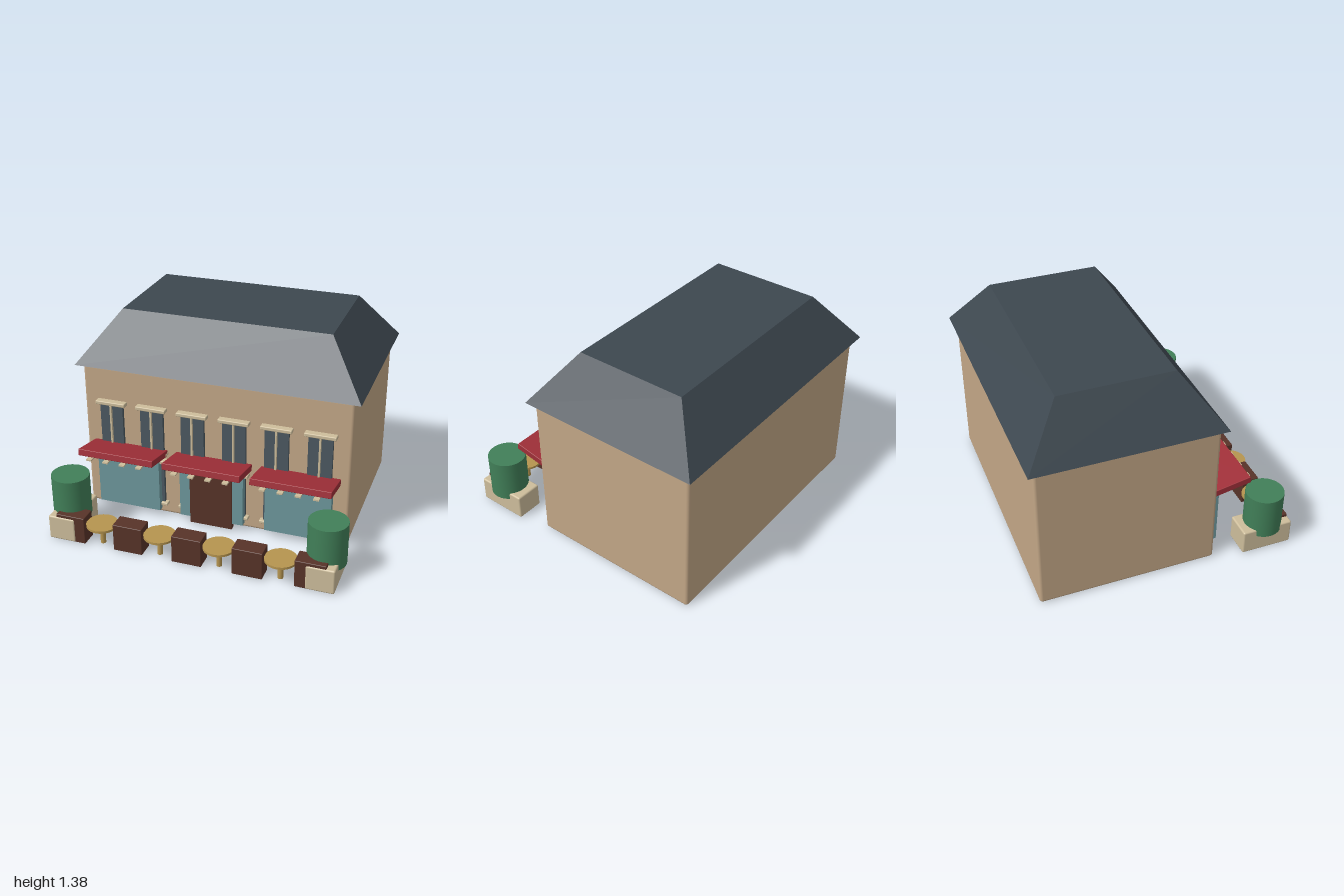
import * as THREE from 'three';
import { RoundedBoxGeometry } from 'three/addons/geometries/RoundedBoxGeometry.js';

const mat = (color) => new THREE.MeshStandardMaterial({ color });
const M = {
  wall: mat(0xc2a686), roof: mat(0x3d474f), awning: mat(0x9f2f38), glass: mat(0x6d979b), pane: mat(0x4b5860),
  wood: mat(0x573328), leaf: mat(0x417f58), gold: mat(0xb5944f), stone: mat(0xcdbd9b),
};

export function createModel() {
  const model = new THREE.Group();

  const add = (name, geometry, material, parent = model) => {
    const mesh = new THREE.Mesh(geometry, material);
    mesh.name = name;
    parent.add(mesh);
    return mesh;
  };
  // Box given by its extents; a radius rounds its edges
  const box = (name, [x0, x1], [y0, y1], [z0, z1], material, parent, radius = 0) => {
    const size = [x1 - x0, y1 - y0, z1 - z0];
    const geometry = radius
      ? new RoundedBoxGeometry(...size, 3, radius)
      : new THREE.BoxGeometry(...size);
    const mesh = add(name, geometry, material, parent);
    mesh.position.set((x0 + x1) / 2, (y0 + y1) / 2, (z0 + z1) / 2);
    return mesh;
  };
  const span = (centre, width) => [centre - width / 2, centre + width / 2];
  const group = (name) => {
    const g = new THREE.Group();
    g.name = name;
    model.add(g);
    return g;
  };

  box('walls', [-0.92, 0.92], [0, 1.04], [-0.865, 0.32], M.wall, model, 0.02);

  // Hipped roof: a box whose top is drawn inwards
  const roof = new THREE.BoxGeometry(1.93, 0.34, 1.26);
  const p = roof.attributes.position;
  for (let i = 0; i < p.count; i++) {
    if (p.getY(i) > 0) {
      p.setX(i, Math.sign(p.getX(i)) * 0.712);
      p.setZ(i, Math.sign(p.getZ(i)) * 0.378);
    }
  }
  roof.computeVertexNormals();
  add('roof', roof, M.roof).position.set(0, 1.21, -0.275);

  // Two storeys of six paired windows with lintel and sill
  for (const [bottom, top] of [[0.1, 0.4], [0.48, 0.78]]) {
    for (let i = 0; i < 6; i++) {
      const x = (i - 2.5) * 0.288;
      const w = group('window');
      for (const s of [-1, 1]) {
        box('pane', span(x + s * 0.043, 0.075), [bottom, top], [0.31, 0.342], M.pane, w);
      }
      box('mullion', span(x, 0.012), [bottom, top], [0.31, 0.36], M.stone, w);
      box('lintel', span(x, 0.21), [top, top + 0.026], [0.31, 0.366], M.stone, w, 0.006);
      box('sill', span(x, 0.21), [bottom - 0.022, bottom], [0.31, 0.362], M.stone, w, 0.006);
    }
  }

  // Shop fronts, each under an awning whose outer edge is raised
  for (const x of [-0.595, 0, 0.595]) {
    const shop = group('shopFront');
    box('shopWindow', span(x, 0.445), [0.05, 0.47], [0.342, 0.386], M.glass, shop);
    const awning = add('awning', new RoundedBoxGeometry(0.53, 0.045, 0.265, 2, 0.004), M.awning, shop);
    awning.position.set(x, 0.498, 0.457);
    awning.rotation.x = -0.19;
    for (let i = 0; i < 4; i++) {
      box('awningTab', span(x + (i - 1.5) * 0.117, 0.038), [0.486, 0.496], [0.56, 0.618], M.stone, shop);
    }
  }
  box('door', [-0.148, 0.148], [0.01, 0.47], [0.35, 0.394], M.wood);

  // Terrace: four round tables between five seats
  for (let i = 0; i < 4; i++) {
    const table = group('table');
    table.position.set((i - 1.5) * 0.405, 0, 0.795);
    add('tableTop', new THREE.CylinderGeometry(0.105, 0.105, 0.016, 32), M.gold, table).position.y = 0.14;
    add('tableLeg', new THREE.CylinderGeometry(0.018, 0.018, 0.134, 16), M.gold, table).position.y = 0.067;
  }
  for (let i = 0; i < 5; i++) {
    box('seat', span((i - 2) * 0.405, 0.2), [0, 0.19], [0.738, 0.856], M.wood, model, 0.005);
  }

  // Planters with clipped round shrubs at both ends
  for (const s of [-1, 1]) {
    const planter = group('planter');
    box('planterBox', span(s * 0.873, 0.187), [0, 0.17], [0.513, 0.862], M.stone, planter, 0.012);
    add('shrub', new THREE.CylinderGeometry(0.127, 0.127, 0.288, 32), M.leaf, planter)
      .position.set(s * 0.873, 0.267, 0.69);
  }

  return model;
}
